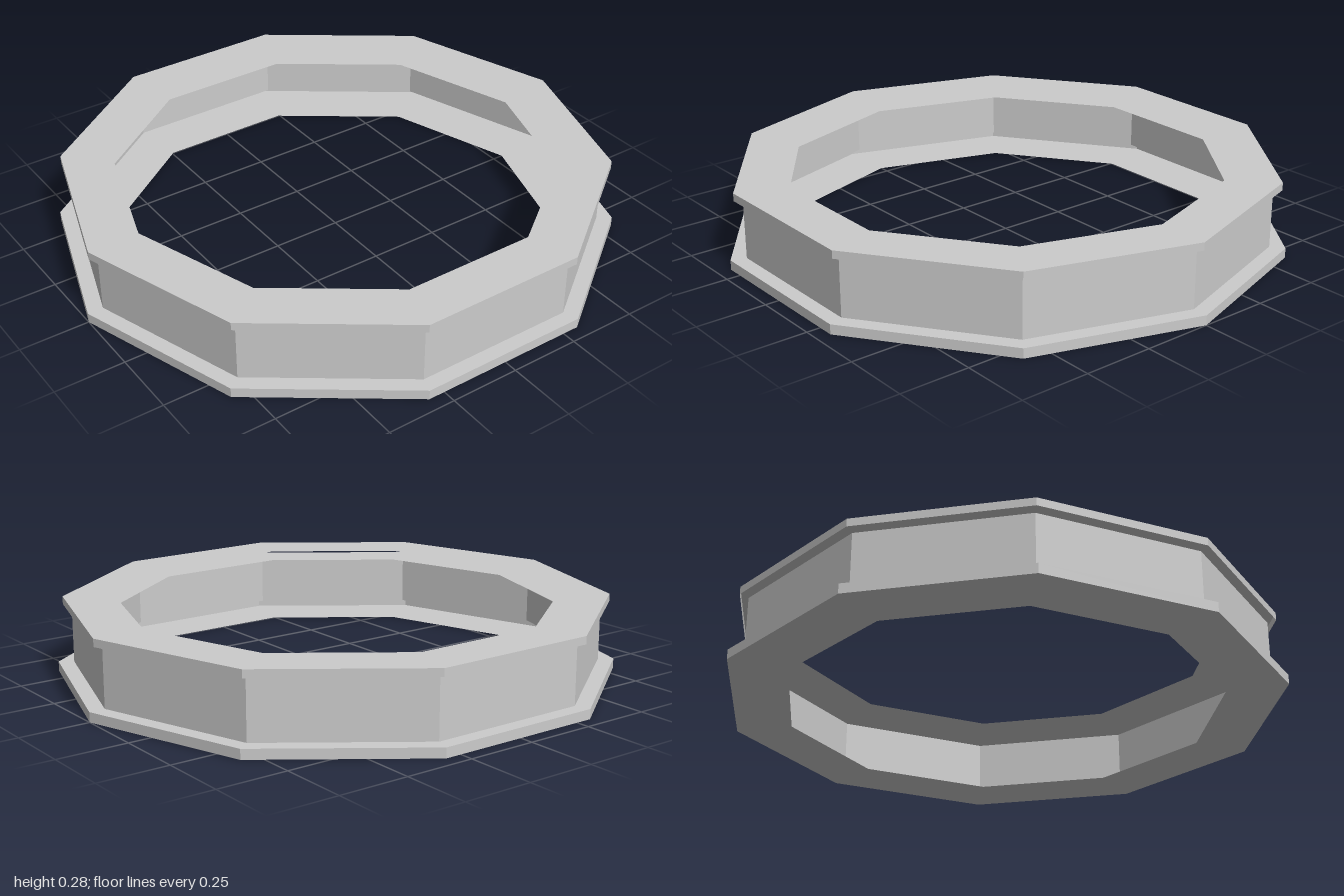
import * as THREE from 'three';

const SIDES = 10;

// Revolves an open [radius, height] profile into a thin ten-sided shell.
function shell(name, profile) {
  const points = profile.map(([r, y]) => new THREE.Vector2(r, y));
  const geometry = new THREE.LatheGeometry(points, SIDES, Math.PI / 2);
  const material = new THREE.MeshStandardMaterial({
    color: 0xcccccc, flatShading: true, side: THREE.DoubleSide,
  });
  const mesh = new THREE.Mesh(geometry, material);
  mesh.name = name;
  return mesh;
}

export function createModel() {
  const model = new THREE.Group();
  model.name = 'decagonalRing';
  const inner = 0.79;

  // Channel open towards the middle: floor, foot rim, wall and upper flange
  model.add(shell('channel', [
    [inner, 0], [1, 0], [1, 0.035], [0.944, 0.035], [0.944, 0.24], [inner, 0.24],
  ]));

  // Thin lid floating just above the channel, with a turned-down outer rim
  model.add(shell('lid', [[0.975, 0.248], [0.975, 0.276], [inner, 0.276]]));

  return model;
}
